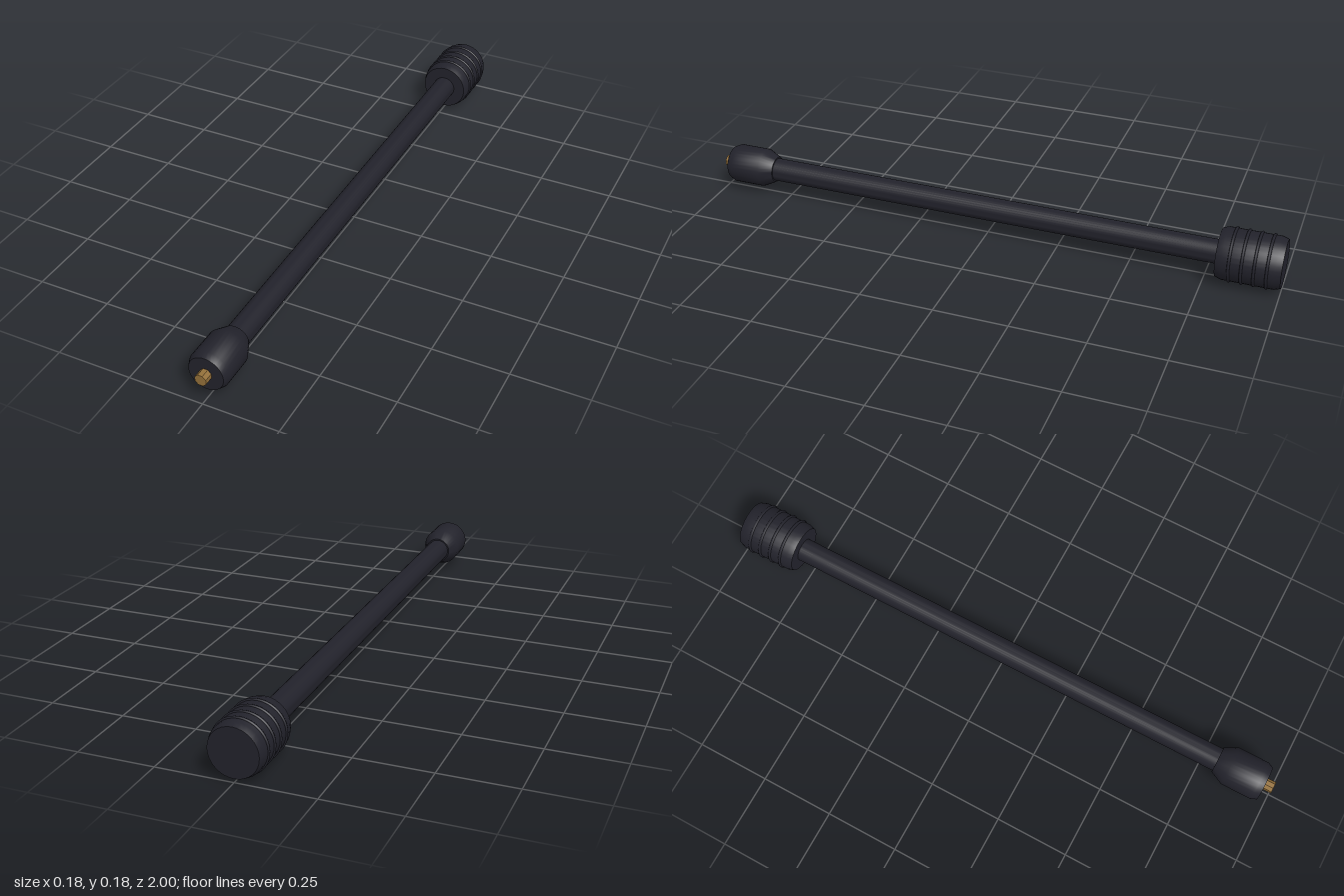
import * as THREE from 'three';
import { toCreasedNormals } from 'three/addons/utils/BufferGeometryUtils.js';

const AXIS_Y = 0.0915;

const mat = (name, color) => {
  const m = new THREE.MeshStandardMaterial({ color });
  m.name = name;
  return m;
};

// Turned part: profile of [radius, z] pairs, running from back to front
function turned(name, profile, material, sides = 32) {
  const points = profile.map(([r, z]) => new THREE.Vector2(r, z));
  const geometry = new THREE.LatheGeometry(points, sides);
  geometry.rotateX(Math.PI / 2);
  const mesh = new THREE.Mesh(toCreasedNormals(geometry, 0.5), material);
  mesh.name = name;
  return mesh;
}

export function createModel() {
  const model = new THREE.Group();
  model.name = 'rod';
  const dark = mat('dark metal', 0x22222b);
  const brass = mat('brass', 0x94703a);

  // Long shaft
  model.add(turned('shaft', [[0, -0.82], [0.04, -0.82], [0.04, 0.84], [0, 0.84]], dark));

  // Grip with bevelled ends
  model.add(turned('grip', [
    [0, -1], [0.08, -1], [0.087, -0.98], [0.087, -0.81], [0.08, -0.79], [0, -0.79],
  ], dark));

  // Raised rings around the grip
  for (let i = 0; i < 4; i++) {
    const ring = new THREE.Mesh(new THREE.TorusGeometry(0.0865, 0.005, 8, 40), dark);
    ring.name = 'gripRing';
    ring.position.z = -0.955 + i * 0.04;
    model.add(ring);
  }

  // Collar tapering back to the shaft
  model.add(turned('collar', [
    [0, 0.8], [0.045, 0.8], [0.067, 0.845], [0.067, 0.95], [0.058, 0.97], [0, 0.97],
  ], dark));

  // Eight-sided tip
  const tip = turned('tip', [[0, 0.96], [0.02, 0.96], [0.02, 1], [0, 1]], brass, 8);
  tip.rotation.z = Math.PI / 8;
  model.add(tip);

  model.children.forEach((part) => { part.position.y = AXIS_Y; });
  return model;
}
